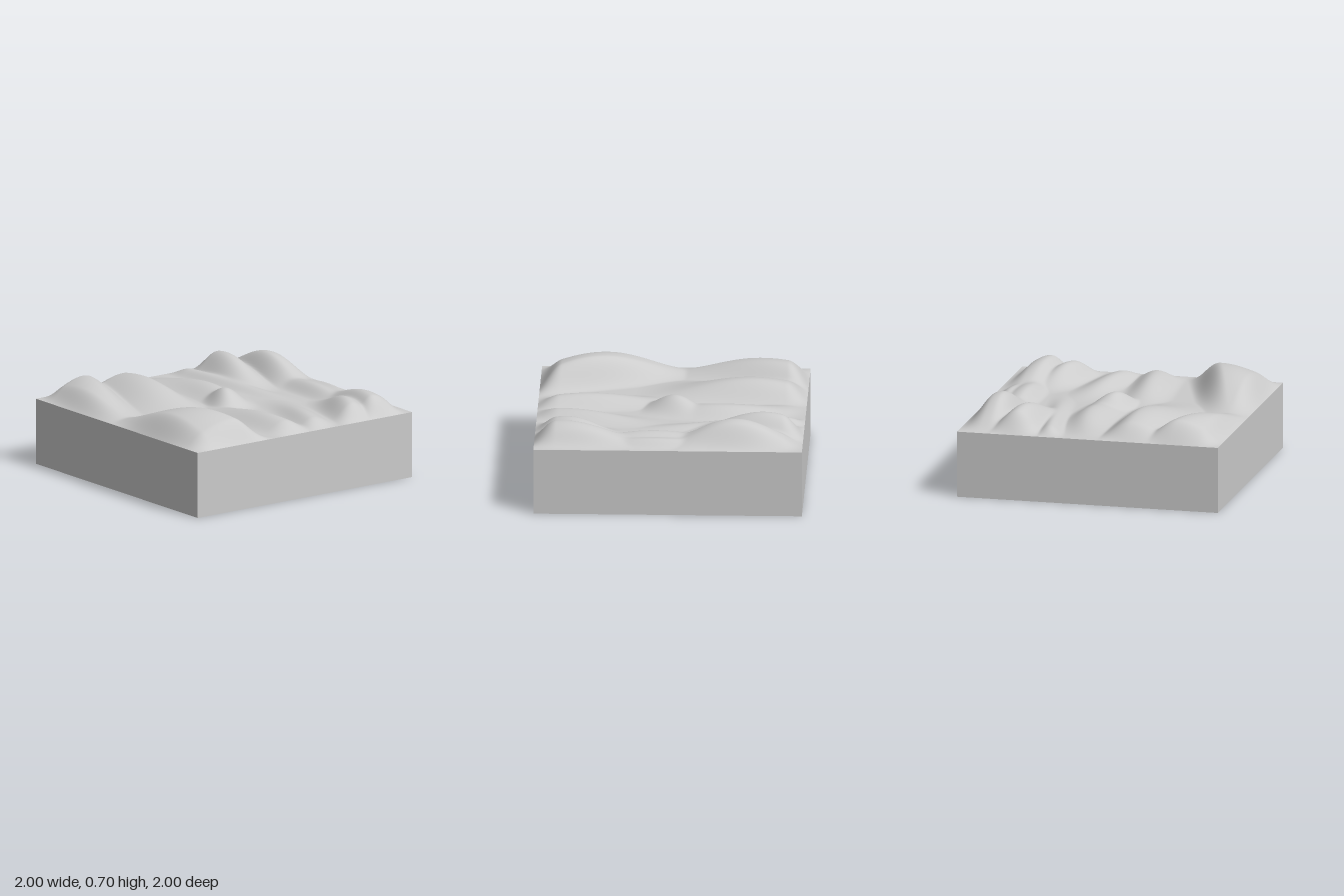
import * as THREE from 'three';

const BASE = 0.5;

// A long hill: summit (x, z, h), half length along x, reach of its slopes
// to the front (+z) and back (-z), and the tilt and bend of its crest line.
const hill = (x, z, h, length, front, back, tilt = 0, bend = 0) =>
  ({ x, z, h, length, front, back, tilt, bend });

const FRONT_HILLS = [
  hill(0.6, 0.64, 0.203, 0.86, 0.7, 0.25, -0.33),
  hill(-0.76, 0.69, 0.162, 0.92, 0.48, 0.3, 0.3),
  hill(-0.6, 0.31, 0.146, 0.9, 0.42, 0.27, 0.05),
];

const MIDDLE_HILLS = [
  hill(-0.38, -0.12, 0.08, 0.75, 0.25, 0.2, 0, 0.4),
  hill(-0.03, -0.03, 0.122, 0.3, 0.19, 0.24, 0.25),
  hill(0.65, 0.09, 0.088, 0.85, 0.22, 0.2, -0.08),
  hill(0.7, -0.22, 0.065, 0.7, 0.17, 0.2, 0.22),
  hill(-0.75, -0.34, 0.055, 1.2, 0.12, 0.12, -0.14),
];

const REAR_HILLS = [
  hill(-0.72, -0.56, 0.168, 0.65, 0.24, 0.24, 0.12),
  hill(0.74, -0.58, 0.125, 0.5, 0.21, 0.22, 0.24),
  hill(-0.5, -0.785, 0.188, 0.6, 0.2, 0.35),
  hill(0.76, -0.75, 0.148, 0.7, 0.2, 0.3, 0.12),
  hill(0.1, -0.75, 0.078, 0.7, 0.15, 0.22),
  hill(0.1, -0.88, 0.062, 0.6, 0.12, 0.14, 0, 0.55),
];

const HILLS = [...FRONT_HILLS, ...MIDDLE_HILLS, ...REAR_HILLS];

// Smooth bump: 1 at the middle, 0 at distance 1 and beyond
const bump = t => 0.5 + 0.5 * Math.cos(Math.PI * Math.min(1, Math.abs(t)));

// Fades the relief to nothing at the rim of the block
const rim = v => Math.sin(Math.min(1, Math.max(0, 1 - Math.abs(v)) / 0.16) * Math.PI / 2);

// The highest hill dominates, with a narrow blend in the valleys
function relief(x, z) {
  let sum = 0;
  for (const k of HILLS) {
    const u = x - k.x;
    const dz = z - (k.z + k.tilt * u + k.bend * u * u);
    sum += (k.h * bump(u / k.length) * bump(dz / (dz > 0 ? k.front : k.back))) ** 6;
  }
  return sum ** (1 / 6) * rim(x) * rim(z);
}

export function createModel() {
  const group = new THREE.Group();
  group.name = 'terrainBlock';
  const material = new THREE.MeshStandardMaterial({ color: 0xcccccc });

  // Block with its top face left open for the terrain
  const blockGeometry = new THREE.BoxGeometry(2, BASE, 2).translate(0, BASE / 2, 0);
  const index = Array.from(blockGeometry.index.array);
  index.splice(12, 6);
  blockGeometry.setIndex(index);
  blockGeometry.clearGroups();
  const block = new THREE.Mesh(blockGeometry, material);
  block.name = 'base';

  // Rolling terrain surface
  const terrainGeometry = new THREE.PlaneGeometry(2, 2, 180, 180).rotateX(-Math.PI / 2);
  const pos = terrainGeometry.attributes.position;
  for (let i = 0; i < pos.count; i++) {
    pos.setY(i, BASE + relief(pos.getX(i), pos.getZ(i)));
  }
  terrainGeometry.computeVertexNormals();
  const terrain = new THREE.Mesh(terrainGeometry, material);
  terrain.name = 'terrain';

  group.add(block, terrain);
  return group;
}
